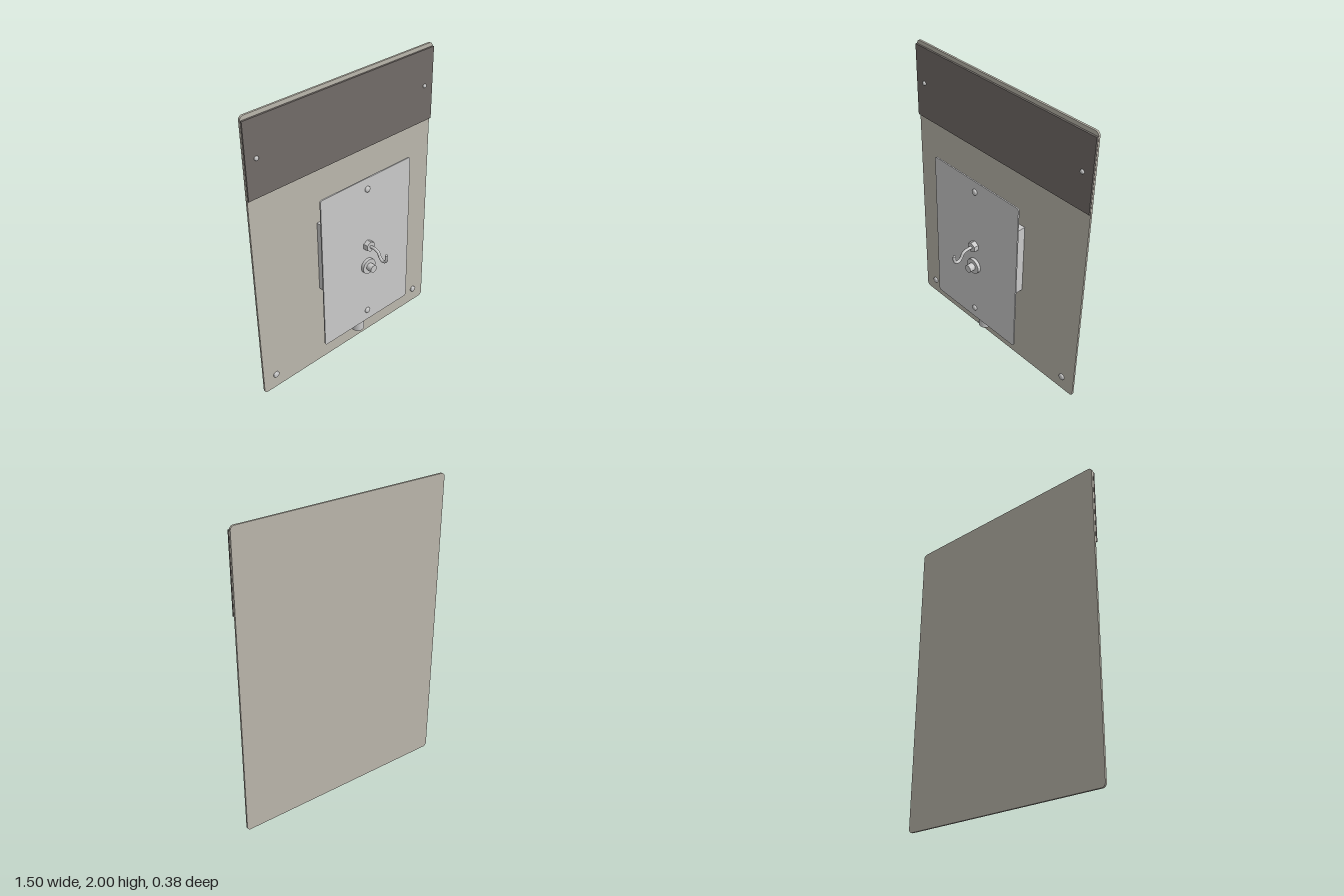
import * as THREE from 'three';

const grey = new THREE.MeshStandardMaterial({ color: 0xcccccc });
const stone = new THREE.MeshStandardMaterial({ color: 0xbcb8ad });
const dark = new THREE.MeshStandardMaterial({ color: 0x726c68 });

// Upright sheet with rounded corners, spanning z0 to z1
function sheet(w, y0, y1, z0, z1, r) {
  const x = w / 2;
  const s = new THREE.Shape();
  s.moveTo(-x + r, y0);
  s.lineTo(x - r, y0);
  s.absarc(x - r, y0 + r, r, -Math.PI / 2, 0);
  s.absarc(x - r, y1 - r, r, 0, Math.PI / 2);
  s.absarc(-x + r, y1 - r, r, Math.PI / 2, Math.PI);
  s.absarc(-x + r, y0 + r, r, Math.PI, Math.PI * 1.5);
  const g = new THREE.ExtrudeGeometry(s, { depth: z1 - z0, bevelEnabled: false, curveSegments: 8 });
  return g.translate(0, 0, z0);
}

// Cylinder pointing forward, spanning z0 to z1
function peg(r, y, z0, z1, sides = 32) {
  return new THREE.CylinderGeometry(r, r, z1 - z0, sides).rotateX(Math.PI / 2).translate(0, y, (z0 + z1) / 2);
}

// Low domed screw head facing forward
function screwHead(r, h, x, y, z) {
  const pts = [new THREE.Vector2(r, 0), new THREE.Vector2(r, h * 0.4)];
  for (let i = 1; i <= 5; i++) {
    const a = (i / 5) * Math.PI / 2;
    pts.push(new THREE.Vector2(i === 5 ? 0 : r * Math.cos(a), h * (0.4 + 0.6 * Math.sin(a))));
  }
  return new THREE.LatheGeometry(pts, 20).rotateX(Math.PI / 2).translate(x, y, z);
}

export function createModel() {
  const model = new THREE.Group();
  model.name = 'wallPanel';
  const add = (name, geometry, material = grey) => {
    const mesh = new THREE.Mesh(geometry, material);
    mesh.name = name;
    model.add(mesh);
  };

  // Backing board and dark header strip
  add('backBoard', sheet(1.5, 0, 2, -0.19, -0.177, 0.025), stone);
  add('headerStrip', new THREE.BoxGeometry(1.5, 0.495, 0.012).translate(0, 1.727, -0.169), dark);

  // Junction box and its cover plate
  add('junctionBox', new THREE.BoxGeometry(0.5, 0.505, 0.177).translate(0, 0.853, -0.0885));
  add('coverPlate', sheet(0.75, 0.305, 1.4, 0, 0.009, 0.015));

  // Conduit with hex nut and collar, below the box
  const upright = (r, y0, y1, sides) =>
    new THREE.CylinderGeometry(r, r, y1 - y0, sides).translate(0, (y0 + y1) / 2, -0.085);
  const conduitNut = upright(0.06, 0.56, 0.6, 6).toNonIndexed();
  conduitNut.computeVertexNormals();
  add('conduitNut', conduitNut);
  add('conduitCollar', upright(0.053, 0.485, 0.56, 32));
  add('conduitPipe', upright(0.045, 0.18, 0.485, 32));

  // Hook with hex nut
  const nut = peg(0.036, 0.915, 0.009, 0.042, 6).toNonIndexed();
  nut.computeVertexNormals();
  add('hookNut', nut);
  const path = new THREE.CatmullRomCurve3([
    [0.915, 0.03], [0.915, 0.085], [0.904, 0.108], [0.874, 0.126], [0.859, 0.147],
    [0.864, 0.167], [0.885, 0.18], [0.918, 0.18],
  ].map(([y, z]) => new THREE.Vector3(0, y, z)));
  add('hook', new THREE.TubeGeometry(path, 48, 0.01, 12));
  add('hookTip', new THREE.CylinderGeometry(0.01, 0.01, 0.004, 12).translate(0, 0.917, 0.18));

  // Push button
  add('buttonFlange', peg(0.053, 0.755, 0.009, 0.03));
  add('button', peg(0.026, 0.755, 0.03, 0.07));

  // Screws on the cover plate, board and strip
  for (const y of [0.385, 1.325]) add('plateScrew', screwHead(0.02, 0.014, 0, y, 0.009));
  for (const side of [-1, 1]) {
    add('boardScrew', screwHead(0.022, 0.014, side * 0.65, 0.105, -0.177));
    add('stripScrew', screwHead(0.014, 0.012, side * 0.675, 1.73, -0.163));
  }
  return model;
}
